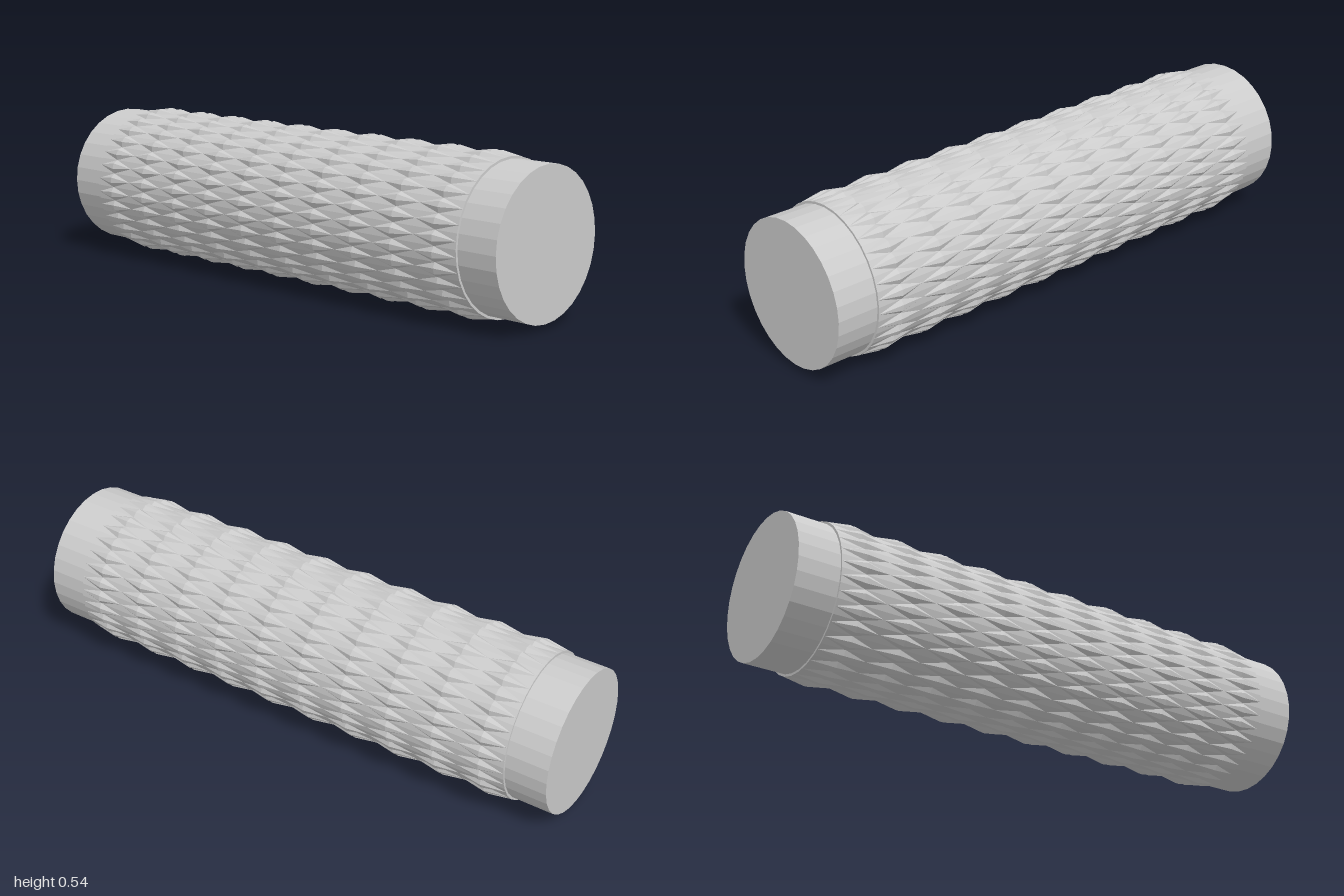
import * as THREE from 'three';

const SIDES = 32;          // knurls around the grip
const BANDS = 10;          // knurls along the grip
const GRIP = 1.71;         // length of the knurled part
const R_BAR = 0.248, R_CORE = 0.256, R_PEAK = 0.2685;

const material = new THREE.MeshStandardMaterial({ color: 0xcccccc, flatShading: true });

// Faceted cylinder lying along z
function rod(name, radius, length) {
  const geometry = new THREE.CylinderGeometry(radius, radius, length, SIDES).rotateX(Math.PI / 2);
  const mesh = new THREE.Mesh(geometry, material);
  mesh.name = name;
  return mesh;
}

// Pointed, flat-topped studs in rows around the core
function knurling() {
  const step = (Math.PI * 2) / SIDES, band = GRIP / BANDS;
  const rTip = R_CORE * Math.cos(step / 2);
  const waist = [[0, R_CORE], [0.31, R_PEAK], [0.69, R_PEAK], [1, R_CORE]];
  const at = (turn, r, z) => [r * Math.cos(turn * step), r * Math.sin(turn * step), z];
  const positions = [];
  for (let j = 0; j < BANDS; j++) {
    const z0 = -GRIP / 2 + j * band;
    for (let i = 0; i < SIDES; i++) {
      const back = at(i + 0.5, rTip, z0);
      const front = at(i + 0.5, rTip, z0 + band);
      const ring = waist.map(([t, r]) => at(i + t, r, z0 + band / 2));
      for (let k = 0; k < 3; k++) {
        positions.push(...ring[k], ...ring[k + 1], ...front);
        positions.push(...ring[k + 1], ...ring[k], ...back);
      }
    }
  }
  const geometry = new THREE.BufferGeometry();
  geometry.setAttribute('position', new THREE.Float32BufferAttribute(positions, 3));
  geometry.computeVertexNormals();
  const mesh = new THREE.Mesh(geometry, material);
  mesh.name = 'knurling';
  return mesh;
}

export function createModel() {
  const model = new THREE.Group();
  model.name = 'knurledHandle';
  const handle = new THREE.Group();
  handle.name = 'handle';
  handle.position.y = 0.268;
  handle.add(rod('bar', R_BAR, 2), rod('gripCore', R_CORE, GRIP), knurling());
  model.add(handle);
  return model;
}
